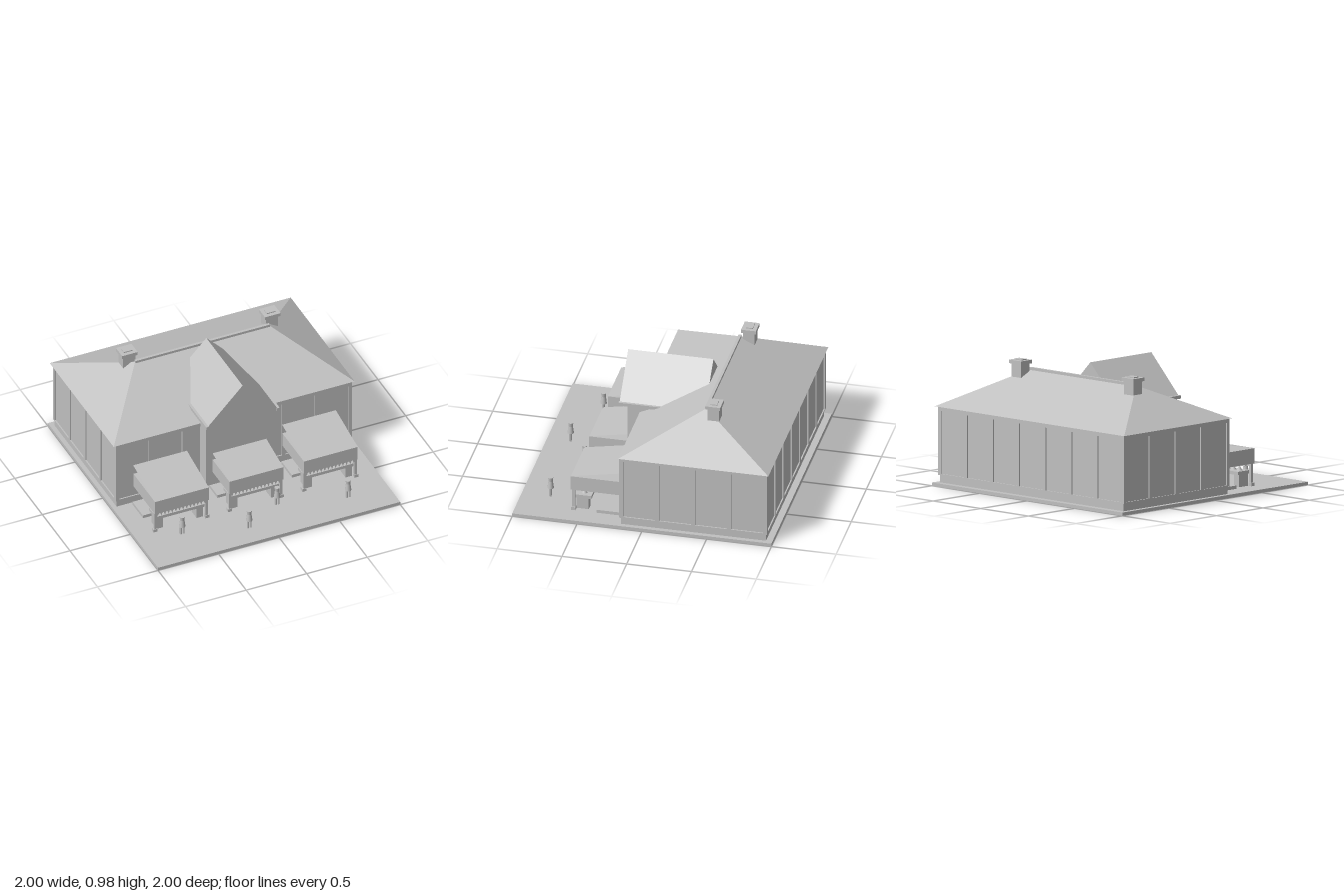
import * as THREE from 'three';
import { ConvexGeometry } from 'three/addons/geometries/ConvexGeometry.js';

const stone = new THREE.MeshStandardMaterial({ color: 0xc0c0c0 });
stone.name = 'pale grey';
stone.side = THREE.DoubleSide;

function add(parent, name, geometry, x = 0, y = 0, z = 0) {
  const mesh = new THREE.Mesh(geometry, stone);
  mesh.name = name;
  mesh.position.set(x, y, z);
  parent.add(mesh);
  return mesh;
}

// Box given by its limits on each axis
function box(parent, name, x0, x1, y0, y1, z0, z1) {
  return add(parent, name, new THREE.BoxGeometry(x1 - x0, y1 - y0, z1 - z0),
    (x0 + x1) / 2, (y0 + y1) / 2, (z0 + z1) / 2);
}

function hull(parent, name, points) {
  return add(parent, name, new ConvexGeometry(points.map((p) => new THREE.Vector3(...p))));
}

function group(parent, name, x = 0, z = 0) {
  const g = new THREE.Group();
  g.name = name;
  g.position.set(x, 0, z);
  parent.add(g);
  return g;
}

// Wall frame facing +z: a top rail, a thin sill and evenly spaced pilasters
function wallFrame(parent, name, length, bays, x, z, turn) {
  const g = group(parent, name, x, z);
  g.rotation.y = turn;
  const h = length / 2, post = 0.03, pitch = (length - post) / bays;
  box(g, 'topRail', -h, h, 0.57, 0.605, -0.012, 0);
  box(g, 'sill', -h, h, 0.082, 0.092, -0.012, 0);
  for (let i = 0; i <= bays; i++) {
    const left = -h + i * pitch;
    box(g, 'pilaster', left, left + post, 0.092, 0.57, -0.012, 0);
  }
}

function buildHall(root) {
  const hall = group(root, 'hall');
  box(hall, 'walls', -0.965, 0.965, 0.025, 0.605, -0.95, 0.17);
  wallFrame(hall, 'frontFrame', 1.95, 7, 0, 0.18, 0);
  wallFrame(hall, 'backFrame', 1.95, 7, 0, -0.96, Math.PI);
  wallFrame(hall, 'leftFrame', 1.14, 4, 0.975, -0.39, Math.PI / 2);
  wallFrame(hall, 'rightFrame', 1.14, 4, -0.975, -0.39, -Math.PI / 2);

  // Hipped roof with a ridge cap
  hull(hall, 'hippedRoof', [
    [-0.995, 0.603, 0.185], [0.995, 0.603, 0.185],
    [-0.995, 0.603, -0.975], [0.995, 0.603, -0.975],
    [-0.555, 0.87, -0.395], [0.555, 0.87, -0.395],
  ]);
  box(hall, 'ridgeCap', -0.555, 0.555, 0.86, 0.885, -0.407, -0.385);

  for (const s of [-1, 1]) {
    const chimney = group(hall, 'chimney', s * 0.59, -0.467);
    box(chimney, 'shaft', -0.05, 0.05, 0.7, 0.92, -0.045, 0.045);
    box(chimney, 'cap', -0.064, 0.064, 0.918, 0.945, -0.057, 0.057);
    box(chimney, 'flue', -0.036, 0.036, 0.945, 0.953, -0.026, 0.026);
  }
}

function buildPavilion(root) {
  const pavilion = group(root, 'pavilion');
  box(pavilion, 'pavilionWalls', -0.275, 0.275, 0.078, 0.67, 0, 0.28);
  const ends = [0.338, -0.32].flatMap((z) => [
    [-0.285, 0.655, z], [0.285, 0.655, z],
    [-0.285, 0.678, z], [0.285, 0.678, z], [0, 0.975, z],
  ]);
  hull(pavilion, 'gableRoof', ends);
  for (const s of [-1, 1]) {
    const x = s * 0.291;
    box(pavilion, 'gutter', x - 0.012, x + 0.012, 0.655, 0.68, -0.015, 0.345);
  }
}

function buildStall(root, x) {
  const stall = group(root, 'marketStall', x);
  box(stall, 'floorMat', -0.23, 0.23, 0.025, 0.05, 0.195, 0.385);

  // Awning: valance box under a sloping sheet
  const w = 0.222;
  box(stall, 'valance', -w, w, 0.195, 0.31, 0.195, 0.587);
  const sheet = new THREE.PlaneGeometry(2 * w, Math.hypot(0.395, 0.075));
  sheet.rotateX(-Math.PI / 2 + Math.atan2(0.075, 0.395));
  add(stall, 'awningSheet', sheet, 0, 0.349, 0.388);

  // Pointed fringe under the front edge
  const teeth = 14, pitch = 0.42 / teeth;
  const tooth = new THREE.Shape([
    new THREE.Vector2(-pitch * 0.42, 0), new THREE.Vector2(0, -0.035),
    new THREE.Vector2(pitch * 0.42, 0),
  ]);
  const toothGeometry = new THREE.ExtrudeGeometry(tooth, { depth: 0.006, bevelEnabled: false });
  for (let i = 0; i < teeth; i++) {
    add(stall, 'fringeTooth', toothGeometry, -0.21 + (i + 0.5) * pitch, 0.197, 0.572);
  }

  // Posts, counter and goods
  for (const s of [-1, 1]) {
    box(stall, 'post', s * 0.21 - 0.01, s * 0.21 + 0.01, 0.025, 0.2, 0.553, 0.577);
    box(stall, 'postFoot', s * 0.215 - 0.016, s * 0.215 + 0.016, 0.025, 0.05, 0.548, 0.582);
    box(stall, 'counterLeg', s * 0.165 - 0.027, s * 0.165 + 0.027, 0.025, 0.12, 0.455, 0.55);
  }
  box(stall, 'counterTop', -0.2, 0.2, 0.12, 0.145, 0.432, 0.56);
  for (let i = 0; i < 6; i++) {
    const heap = new THREE.ConeGeometry(0.022, 0.04, 8);
    add(stall, 'goods', heap, -0.155 + i * 0.062, 0.165, 0.495);
  }
}

function buildVisitor(root, x, z) {
  const visitor = group(root, 'visitor', x, z);
  for (const s of [-1, 1]) {
    add(visitor, 'leg', new THREE.CylinderGeometry(0.009, 0.009, 0.08, 8), s * 0.011, 0.065, 0);
  }
  add(visitor, 'body', new THREE.CylinderGeometry(0.017, 0.025, 0.058, 12), 0, 0.122, 0);
  add(visitor, 'head', new THREE.CylinderGeometry(0.02, 0.017, 0.03, 12), 0, 0.166, 0);
}

export function createModel() {
  const root = new THREE.Group();
  root.name = 'marketHall';
  box(root, 'ground', -1, 1, 0, 0.025, -1, 1);
  buildHall(root);
  buildPavilion(root);
  for (const x of [-0.615, 0, 0.615]) buildStall(root, x);
  for (const [x, z] of [[-0.655, 0.68], [-0.165, 0.82], [0.147, 0.64], [0.67, 0.78]]) {
    buildVisitor(root, x, z);
  }
  return root;
}
